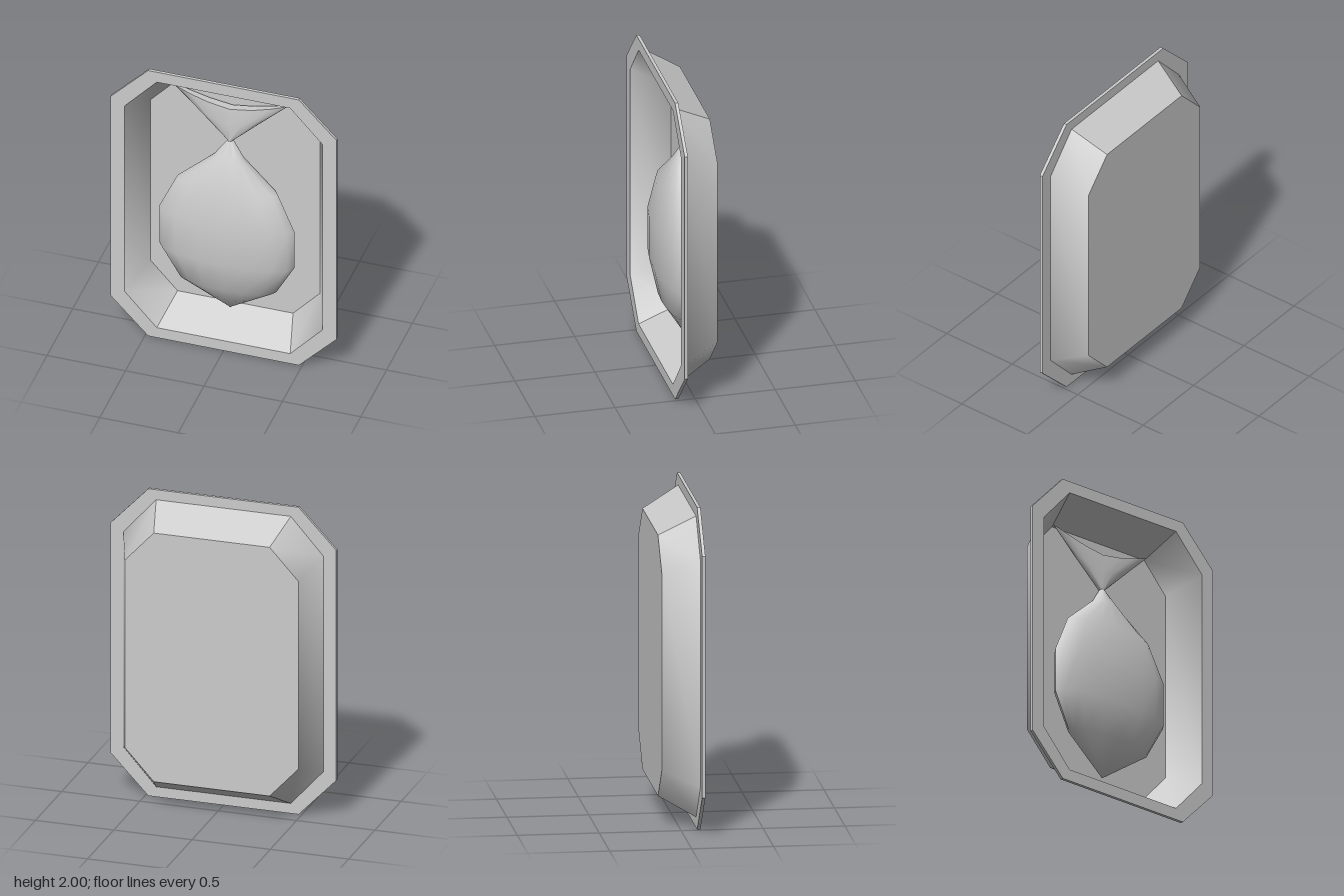
import * as THREE from 'three';
import { toCreasedNormals } from 'three/addons/utils/BufferGeometryUtils.js';

// Skin a list of equal-length point rings; optionally cap both ends with fans.
function loft(rings, crease, capped) {
  const n = rings[0].length;
  const pos = rings.flat(2);
  const index = [];
  for (let i = 0; i < rings.length - 1; i++) {
    for (let j = 0; j < n; j++) {
      const a = i * n + j, b = i * n + (j + 1) % n;
      index.push(a, b, b + n, a, b + n, a + n);
    }
  }
  if (capped) {
    const e = (rings.length - 1) * n;
    for (let j = 1; j < n - 1; j++) {
      index.push(0, j + 1, j);
      index.push(e, e + j, e + j + 1);
    }
  }
  const geometry = new THREE.BufferGeometry();
  geometry.setAttribute('position', new THREE.Float32BufferAttribute(pos, 3));
  geometry.setIndex(index);
  return toCreasedNormals(geometry, crease);
}

// Octagon around y = 1: w, h are half sizes, cw and ch where the corner cuts start.
function octagon(w, h, cw, ch, z) {
  return [[w, -ch], [w, ch], [cw, h], [-cw, h], [-w, ch], [-w, -ch], [-cw, -h], [cw, -h]]
    .map(([x, y]) => [x, y + 1, z]);
}

// Flattened oval section, with an optional upward sweep of its side tips.
function oval(y, w, zc, half, sweep = 0) {
  const ring = [];
  const n = 16;
  for (let j = 0; j < n; j++) {
    const t = (j / n) * Math.PI * 2;
    const s = Math.sin(t);
    ring.push([-0.015 + w * s, y + sweep * Math.abs(s) ** 1.5, zc + half * Math.cos(t)]);
  }
  return ring;
}

export function createModel() {
  const group = new THREE.Group();
  const material = new THREE.MeshStandardMaterial({ color: 0xcccccc, side: THREE.DoubleSide });
  const add = (name, geometry) => {
    const mesh = new THREE.Mesh(geometry, material);
    mesh.name = name;
    group.add(mesh);
  };

  // Tray: back plate, outer wall, flange, opening and sunken floor
  add('tray', loft([
    octagon(0.555, 0.81, 0.37, 0.61, -0.125),
    octagon(0.64, 0.935, 0.43, 0.70, 0.10),
    octagon(0.72, 1.0, 0.48, 0.75, 0.10),
    octagon(0.72, 1.0, 0.48, 0.75, 0.12),
    octagon(0.632, 0.925, 0.425, 0.697, 0.12),
    octagon(0.54, 0.795, 0.368, 0.605, -0.11),
  ], THREE.MathUtils.degToRad(40), true));

  // Fish body, from the nose at the bottom to the narrow neck of the tail
  const smooth = THREE.MathUtils.degToRad(60);
  add('fishBody', loft([
    oval(0.205, 0.002, -0.055, 0.002),
    oval(0.42, 0.31, -0.005, 0.085),
    oval(0.64, 0.43, 0.01, 0.115),
    oval(0.915, 0.43, 0.01, 0.115),
    oval(1.16, 0.318, -0.005, 0.09),
    oval(1.355, 0.093, -0.035, 0.05),
    oval(1.46, 0.016, -0.06, 0.02),
  ], smooth, true));

  // Tail fin, spreading to two tips with a concave upper edge
  add('fishTail', loft([
    oval(1.46, 0.016, -0.06, 0.02),
    oval(1.578, 0.193, -0.07, 0.03, 0.047),
    oval(1.695, 0.37, -0.075, 0.025, 0.095),
    oval(1.695, 0.37, -0.075, 0, 0.095),
  ], smooth, false));

  return group;
}
